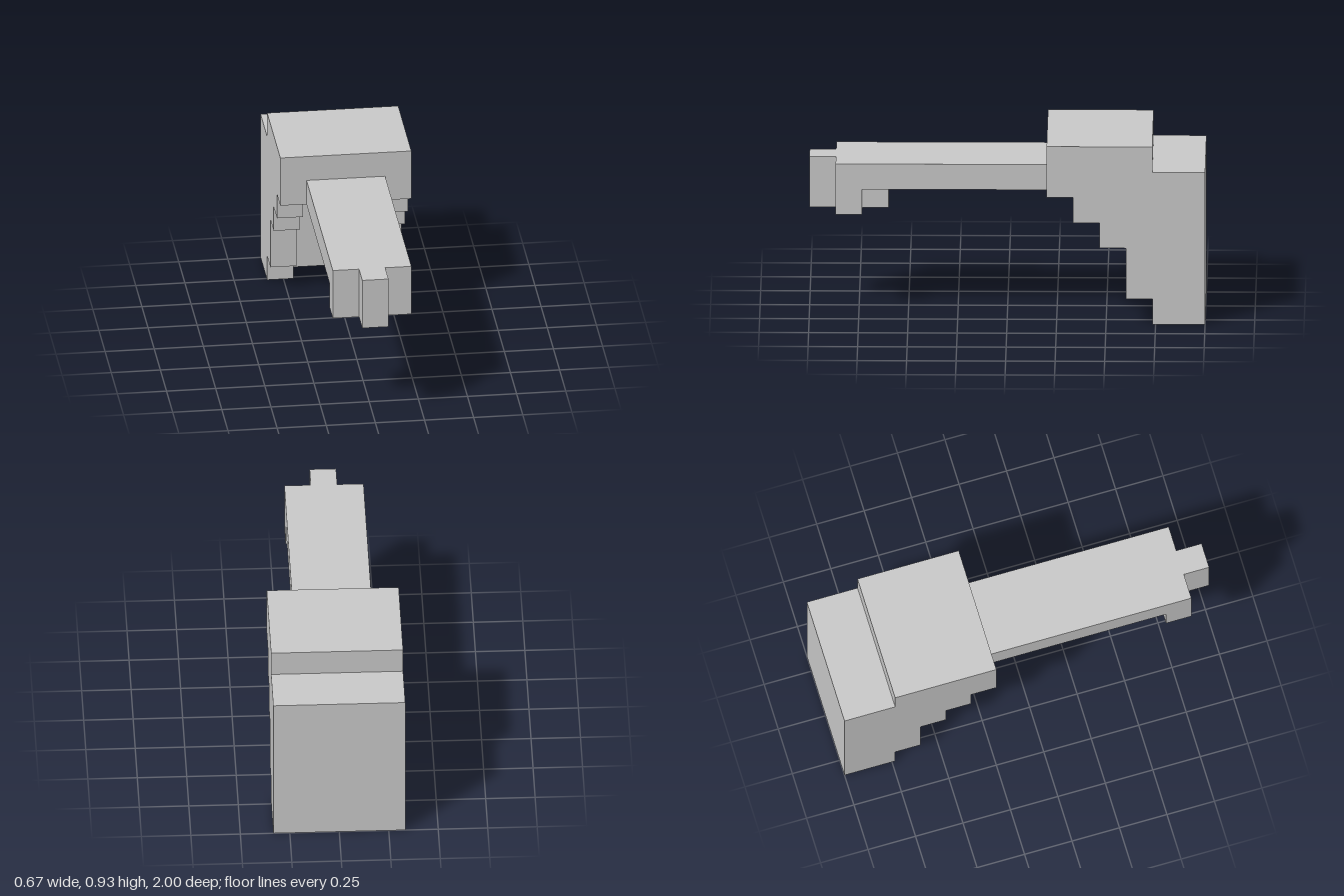
import * as THREE from 'three';

const U = 2 / 15; // one grid step; all sizes below are in steps

const material = new THREE.MeshStandardMaterial({ color: 0xcccccc, flatShading: true });

function extrude(points, depth) {
  const shape = new THREE.Shape(points.map(([a, b]) => new THREE.Vector2(a * U, b * U)));
  return new THREE.ExtrudeGeometry(shape, { depth: depth * U, bevelEnabled: false });
}

function part(name, geometry) {
  const mesh = new THREE.Mesh(geometry, material);
  mesh.name = name;
  return mesh;
}

// (z, y) profile extruded across x from x0 to x1
function acrossX(name, points, x0, x1) {
  return part(name, extrude(points, x1 - x0).rotateY(-Math.PI / 2).translate(x1 * U, 0, 0));
}

// (x, z) outline extruded up from y0 to y1
function upY(name, points, y0, y1) {
  return part(name, extrude(points, y1 - y0).rotateX(Math.PI / 2).translate(0, y1 * U, 0));
}

export function createModel() {
  const model = new THREE.Group();
  model.name = 'steppedBracket';

  // Top outline shared by the side plates and the middle of the body
  const top = [[-1.5, 5], [-1.5, 7], [-5.5, 7], [-5.5, 6], [-7.5, 6], [-7.5, 0]];

  // Side plates with a stair-stepped front edge
  const steps = [
    [-5.5, 0], [-5.5, 1], [-4.5, 1], [-4.5, 3],
    [-3.5, 3], [-3.5, 4], [-2.5, 4], [-2.5, 5],
  ];
  for (const [name, x0] of [['leftSidePlate', 1.5], ['rightSidePlate', -2.5]]) {
    model.add(acrossX(name, [...top, ...steps], x0, x0 + 1));
  }

  // Roof and thin back wall between the plates
  model.add(acrossX('roofAndBackWall', [...top, [-6.5, 0], [-6.5, 5]], -1.5, 1.5));

  // Long arm with a narrow tip
  model.add(upY('arm', [
    [-1.5, -1.5], [1.5, -1.5], [1.5, 6.5], [0.5, 6.5],
    [0.5, 7.5], [-0.5, 7.5], [-0.5, 6.5], [-1.5, 6.5],
  ], 5, 6));

  // Cross-shaped nozzle under the arm's end
  const cross = [];
  for (let i = 0; i < 4; i++) {
    const c = Math.round(Math.cos(i * Math.PI / 2)), s = Math.round(Math.sin(i * Math.PI / 2));
    for (const [a, b] of [[1.5, -0.5], [1.5, 0.5], [0.5, 0.5]]) {
      cross.push([a * c - b * s, a * s + b * c + 6]);
    }
  }
  model.add(upY('crossNozzle', cross, 4, 5));

  return model;
}
